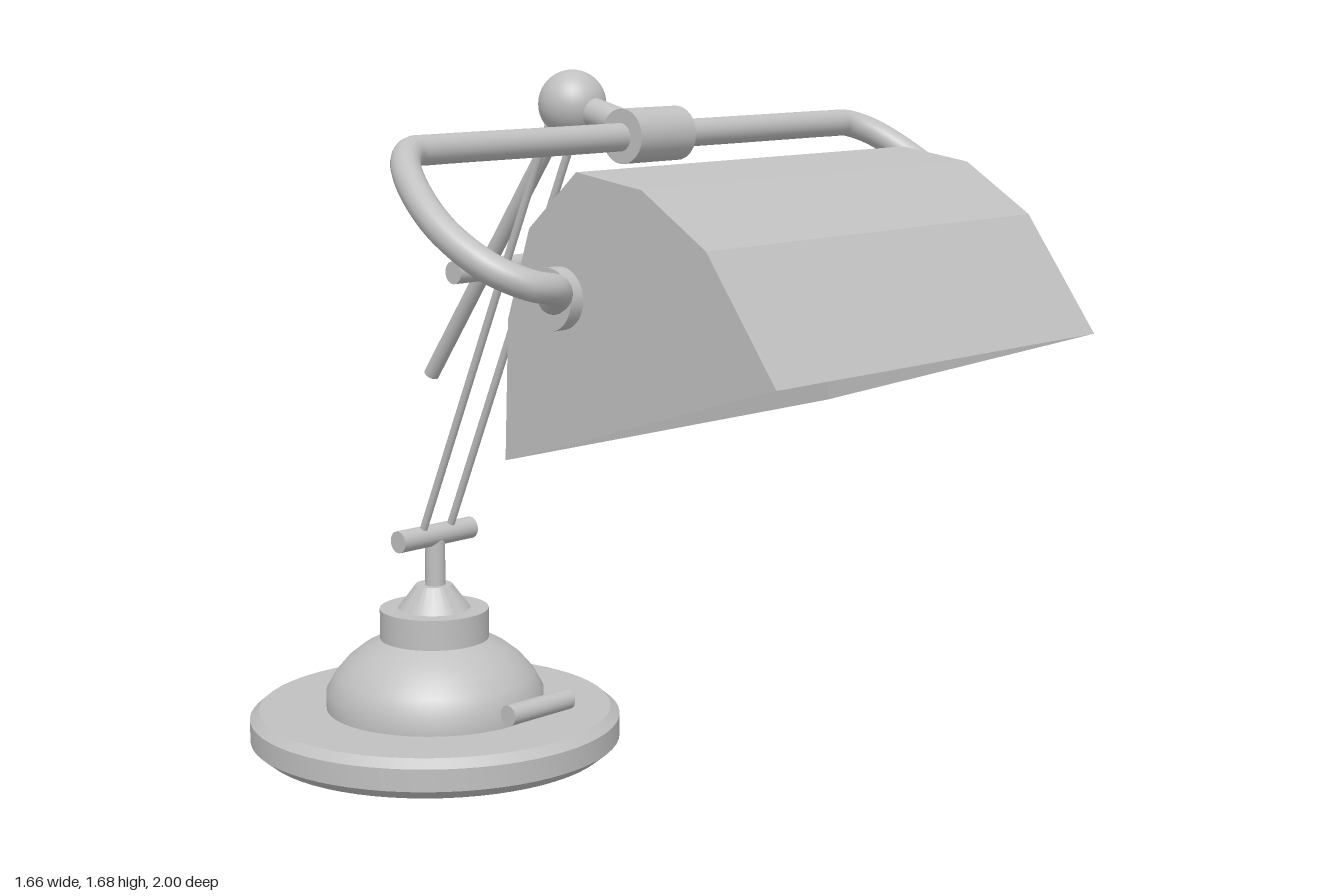
import * as THREE from 'three';
import { toCreasedNormals } from 'three/addons/utils/BufferGeometryUtils.js';

export function createModel() {
  const group = new THREE.Group();
  group.name = 'deskLamp';
  const metal = new THREE.MeshStandardMaterial({ color: 0xc0c0c0, side: THREE.DoubleSide });
  metal.name = 'grey metal';
  const V = (x, y, z) => new THREE.Vector3(x, y, z);

  function add(name, geometry, position) {
    const mesh = new THREE.Mesh(geometry, metal);
    mesh.name = name;
    if (position) mesh.position.copy(position);
    group.add(mesh);
    return mesh;
  }

  // Solid round bar between two points
  function rod(name, a, b, radius, sides = 24) {
    const dir = b.clone().sub(a);
    const mesh = add(name, new THREE.CylinderGeometry(radius, radius, dir.length(), sides),
      a.clone().add(b).multiplyScalar(0.5));
    mesh.quaternion.setFromUnitVectors(V(0, 1, 0), dir.normalize());
  }

  // Round bar lying across the lamp
  const crossBar = (name, half, y, z, radius) => rod(name, V(-half, y, z), V(half, y, z), radius);

  // Base: hollow disc, dome, collar and cone turned as one shell
  const profile = [
    [0.265, 0.09], [0.4, 0.09], [0.4, 0.012], [0.43, 0], [0.46, 0.025], [0.46, 0.08],
    [0.437, 0.1], [0.27, 0.1], [0.27, 0.145], [0.248, 0.185], [0.218, 0.22], [0.18, 0.25],
    [0.135, 0.275], [0.135, 0.35], [0.09, 0.35], [0.045, 0.41], [0, 0.41],
  ].map(([r, y]) => new THREE.Vector2(r, y));
  add('base', toCreasedNormals(new THREE.LatheGeometry(profile, 64), 0.55), V(0, 0, -0.54));

  // Stem and cross pins
  rod('stem', V(0, 0.4, -0.535), V(0, 0.53, -0.535), 0.025);
  crossBar('lowerPin', 0.12, 0.535, -0.535, 0.027);
  crossBar('middlePin', 0.117, 1.21, -0.33, 0.027);
  crossBar('frontPin', 0.1, 0.17, -0.172, 0.025);

  // Arms meeting at the ball joint
  for (const s of [-1, 1]) {
    rod('thinStrut', V(s * 0.045, 0.54, -0.533), V(s * 0.045, 1.58, -0.075), 0.0095, 16);
  }
  rod('counterArm', V(0, 0.935, -0.54), V(0, 1.59, -0.075), 0.019);
  add('ballJoint', new THREE.SphereGeometry(0.077, 32, 20), V(0, 1.605, -0.055));
  rod('neck', V(0, 1.605, -0.055), V(0, 1.55, 0.17), 0.033);
  crossBar('sleeve', 0.087, 1.547, 0.183, 0.06);

  // Bent handle carrying the shade, mirrored about x = 0
  const half = [
    [0.53, 1.255, 0.43], [0.565, 1.26, 0.455], [0.61, 1.278, 0.51], [0.65, 1.295, 0.542],
    [0.71, 1.307, 0.545], [0.77, 1.34, 0.495], [0.797, 1.4, 0.4], [0.785, 1.465, 0.305],
    [0.74, 1.523, 0.217], [0.69, 1.544, 0.18], [0.64, 1.545, 0.178], [0.3, 1.545, 0.178],
  ];
  const path = [
    ...half.map(([x, y, z]) => V(x, y, z)),
    ...half.slice().reverse().map(([x, y, z]) => V(-x, y, z)),
  ];
  add('handle', new THREE.TubeGeometry(new THREE.CatmullRomCurve3(path), 180, 0.031, 16));

  // Shade: faceted walls and two flat ends, open underneath
  const outline = [
    [1.0, 1.135], [0.822, 1.38], [0.655, 1.485], [0.478, 1.51],
    [0.345, 1.39], [0.282, 1.2], [0.272, 0.905],
  ];
  const w = 0.525;
  const positions = [];
  const corner = (x, i) => positions.push(x, outline[i][1], outline[i][0]);
  for (let i = 0; i < outline.length - 1; i++) {
    const j = i + 1;
    [[w, i], [w, j], [-w, i], [w, j], [-w, j], [-w, i]].forEach(([x, k]) => corner(x, k));
    if (i > 0) {
      [0, j, i].forEach((k) => corner(w, k));
      [0, i, j].forEach((k) => corner(-w, k));
    }
  }
  const shade = new THREE.BufferGeometry();
  shade.setAttribute('position', new THREE.Float32BufferAttribute(positions, 3));
  shade.computeVertexNormals();
  add('shade', shade);

  // Round pivots on the shade ends
  for (const s of [-1, 1]) {
    rod('shadePivot', V(s * 0.526, 1.257, 0.435), V(s * 0.561, 1.257, 0.435), 0.064, 32);
  }
  return group;
}
